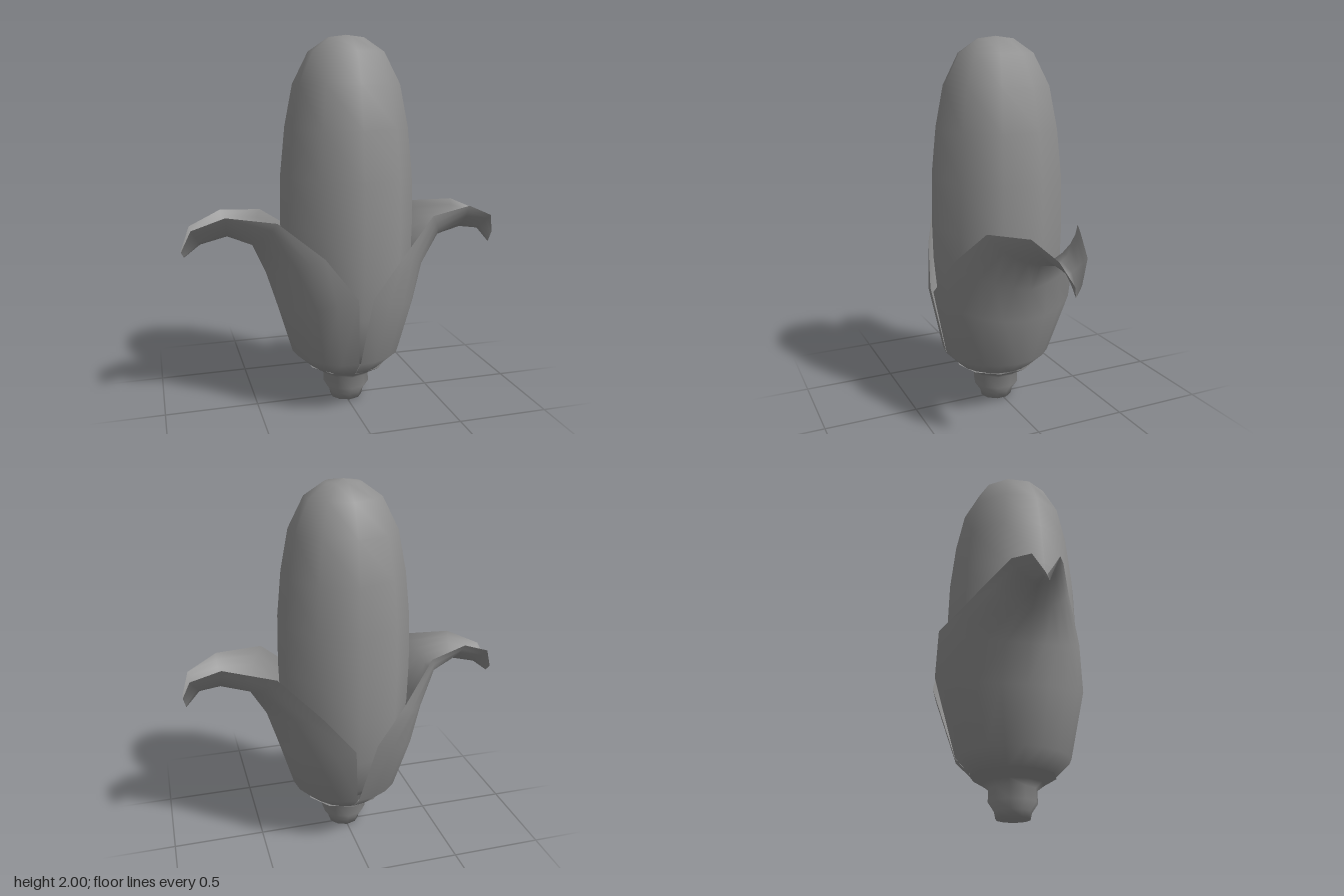
import * as THREE from 'three';

const grey = new THREE.MeshStandardMaterial({ color: 0x909090, side: THREE.DoubleSide });
const CENTRE_Z = 0.02;

// Ten-sided turned part from [radius, height] pairs
function turned(name, profile) {
  const points = profile.map(([r, y]) => new THREE.Vector2(r, y));
  const mesh = new THREE.Mesh(new THREE.LatheGeometry(points, 10), grey);
  mesh.name = name;
  mesh.position.set(0.005, 0, CENTRE_Z);
  return mesh;
}

// Husk leaf: each row gives spine [x, y], front edge [x, y, z], back edge [x, y, z]
// and how sharply the row folds (0 = round, 1 = V). side mirrors x.
function huskLeaf(name, side, rows) {
  const columns = 10, positions = [], indices = [];
  const lerp = THREE.MathUtils.lerp;
  for (const [spine, front, back, fold] of rows) {
    for (let i = 0; i <= columns; i++) {
      const s = 1 - (2 * i) / columns;
      const edge = s >= 0 ? front : back;
      const a = Math.abs(s) * Math.PI / 2;
      const inward = lerp(Math.cos(a), 1 - Math.abs(s), fold);
      const across = lerp(Math.sin(a), Math.abs(s), fold);
      positions.push(
        side * lerp(edge[0], spine[0], inward),
        lerp(edge[1], spine[1], inward),
        lerp(CENTRE_Z, edge[2], across)
      );
    }
  }
  for (let r = 0; r < rows.length - 1; r++) {
    for (let i = 0; i < columns; i++) {
      const a = r * (columns + 1) + i, b = a + 1;
      const c = a + columns + 1, d = c + 1;
      if (side > 0) indices.push(a, b, c, b, d, c);
      else indices.push(a, c, b, b, c, d);
    }
  }
  const geometry = new THREE.BufferGeometry();
  geometry.setAttribute('position', new THREE.Float32BufferAttribute(positions, 3));
  geometry.setIndex(indices);
  geometry.computeVertexNormals();
  const mesh = new THREE.Mesh(geometry, grey);
  mesh.name = name;
  return mesh;
}

export function createModel() {
  const group = new THREE.Group();
  group.name = 'cornCob';

  group.add(turned('cob', [
    [0, 0.23], [0.18, 0.25], [0.27, 0.34], [0.33, 0.55], [0.355, 0.8], [0.36, 1.02],
    [0.354, 1.28], [0.328, 1.53], [0.284, 1.75], [0.2, 1.915], [0.095, 1.987], [0, 2],
  ]));

  // Stem flares into the underside of the husk
  group.add(turned('stem', [
    [0, 0], [0.088, 0.01], [0.096, 0.045], [0.127, 0.09], [0.125, 0.155], [0.16, 0.182], [0.225, 0.22],
  ]));

  // Rows shared by both leaves where the husk closes around the base
  const base = [
    [[0.12, 0.175], [0, 0.175, 0.14], [0, 0.175, -0.1], 0],
    [[0.21, 0.22], [0, 0.215, 0.23], [0, 0.215, -0.19], 0],
    [[0.3, 0.3], [0.003, 0.3, 0.315], [0.003, 0.3, -0.275], 0],
  ];

  group.add(huskLeaf('leftHuskLeaf', 1, [
    ...base,
    [[0.38, 0.57], [0.045, 0.68, 0.4], [0.05, 0.68, -0.4], 0.1],
    [[0.44, 0.76], [0.22, 0.88, 0.355], [0.22, 0.88, -0.36], 0.4],
    [[0.53, 0.91], [0.42, 1.065, 0.255], [0.42, 1.065, -0.25], 0.4],
    [[0.68, 0.95], [0.68, 1.09, 0.15], [0.68, 1.09, -0.11], 0.6],
    [[0.79, 0.935], [0.84, 1.02, 0.095], [0.84, 1.02, -0.05], 0.9],
    [[0.865, 0.85], [0.88, 0.91, 0.035], [0.88, 0.91, 0], 1],
  ]));

  group.add(huskLeaf('rightHuskLeaf', -1, [
    ...base,
    [[0.38, 0.57], [0.03, 0.68, 0.39], [0.065, 0.7, -0.4], 0.1],
    [[0.44, 0.76], [0.19, 0.89, 0.34], [0.2, 0.9, -0.4], 0.4],
    [[0.51, 0.915], [0.41, 1.065, 0.23], [0.43, 1.065, -0.2], 0.4],
    [[0.64, 0.97], [0.66, 1.09, 0.14], [0.66, 1.09, -0.11], 0.6],
    [[0.78, 0.935], [0.83, 1.02, 0.08], [0.83, 1.02, -0.05], 0.9],
    [[0.865, 0.87], [0.88, 0.9, 0.03], [0.88, 0.9, 0], 1],
  ]));

  return group;
}
